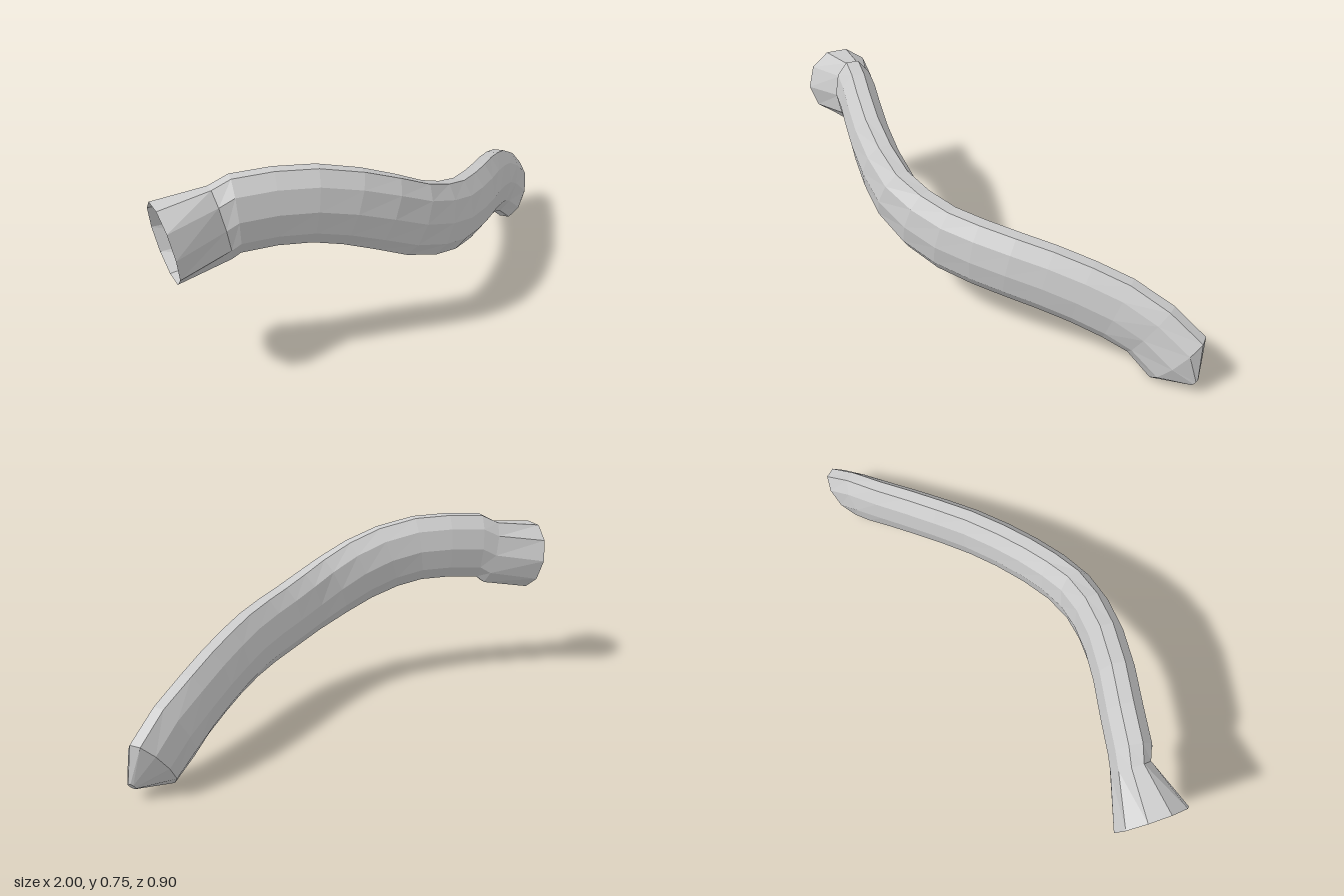
import * as THREE from 'three';

const SIDES = 10;
const V = (x, y, z) => new THREE.Vector3(x, y, z);

// One oval ring: centre, direction of travel, half width and half height
function ring(centre, direction, halfWidth, halfHeight) {
  const t = direction.clone().normalize();
  const side = t.clone().cross(V(0, 1, 0)).normalize();
  const up = side.clone().cross(t);
  const points = [];
  for (let j = 0; j < SIDES; j++) {
    const a = ((j + 0.5) / SIDES) * Math.PI * 2; // flat face on top
    points.push(centre.clone()
      .addScaledVector(side, halfWidth * Math.sin(a))
      .addScaledVector(up, halfHeight * Math.cos(a)));
  }
  return points;
}

// Skin a run of rings with quads, optionally closing the last ring
function skin(name, rings, material, capEnd = false) {
  const index = [];
  for (let i = 0; i < rings.length - 1; i++) {
    for (let j = 0; j < SIDES; j++) {
      const a = i * SIDES + j, b = i * SIDES + (j + 1) % SIDES;
      index.push(a, b, a + SIDES, b, b + SIDES, a + SIDES);
    }
  }
  if (capEnd) {
    const s = (rings.length - 1) * SIDES;
    for (let j = 1; j < SIDES - 1; j++) index.push(s, s + j, s + j + 1);
  }
  const geometry = new THREE.BufferGeometry().setFromPoints(rings.flat());
  geometry.setIndex(index);
  geometry.computeVertexNormals();
  const mesh = new THREE.Mesh(geometry, material);
  mesh.name = name;
  return mesh;
}

export function createModel() {
  const group = new THREE.Group();
  group.name = 'curvedPipe';
  const material = new THREE.MeshStandardMaterial({
    color: 0xcccccc, flatShading: true, side: THREE.DoubleSide,
  });

  // Swept oval body
  const path = new THREE.CatmullRomCurve3([
    V(-0.72, 0.607, 0.293), V(-0.6, 0.615, 0.312), V(-0.4, 0.602, 0.35),
    V(-0.2, 0.54, 0.37), V(0, 0.455, 0.348), V(0.2, 0.392, 0.25),
    V(0.4, 0.358, 0.09), V(0.6, 0.305, -0.11), V(0.79, 0.217, -0.292),
    V(0.905, 0.12, -0.37),
  ]);
  const endDirection = V(1, -1.08, -0.9);
  const segments = 14;
  const body = [];
  for (let i = 0; i <= segments; i++) {
    const u = i / segments;
    const direction = i === segments ? endDirection : path.getTangentAt(u);
    body.push(ring(path.getPointAt(u), direction, 0.084 - 0.01 * u, 0.148));
  }
  group.add(skin('body', body, material));

  // Open collar flaring from the oval neck to a round mouth
  const mouth = ring(V(-0.975, 0.545, 0.283), V(1, 0.17, 0), 0.148, 0.152);
  const neck = ring(V(-0.77, 0.576, 0.277), V(1, 0.21, 0.04), 0.077, 0.146);
  group.add(skin('flaredCollar', [mouth, neck], material));
  group.add(skin('neckStep', [neck, body[0]], material));

  // Blunt cone closing the far end
  const tip = ring(V(0.988, 0.062, -0.396), endDirection, 0.016, 0.02);
  group.add(skin('endCone', [body[segments], tip], material, true));

  return group;
}
